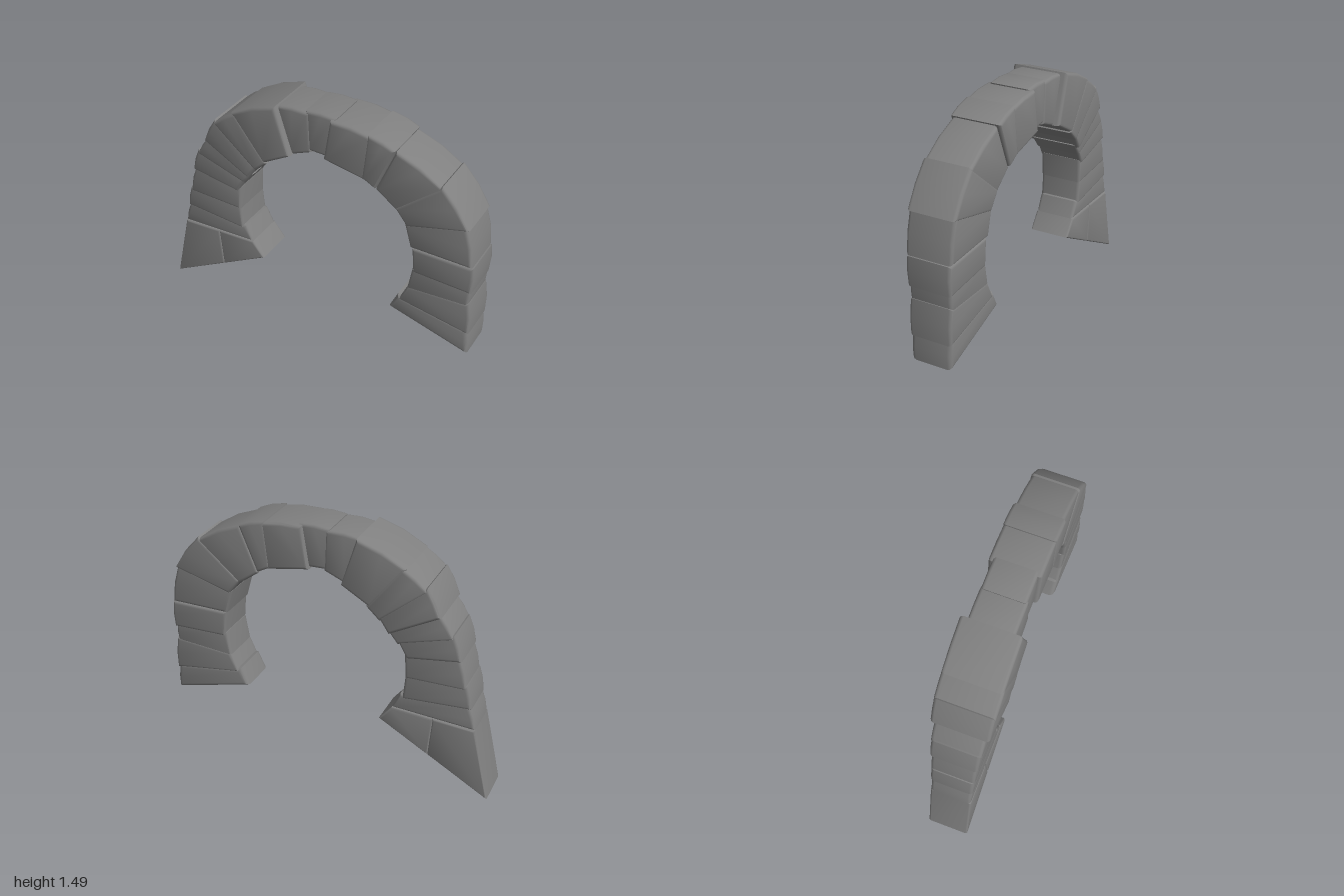
import * as THREE from 'three';
import { toCreasedNormals } from 'three/addons/utils/BufferGeometryUtils.js';

// Joints along the arch: outer x, y, inner x, y, and half depth of the stone that follows
const JOINTS = [
  [-1, 0, -0.335, 0.37, 0.124],
  [-0.9, 0.44, -0.41, 0.465, 0.122],
  [-0.86, 0.58, -0.46, 0.55, 0.127],
  [-0.835, 0.7, -0.48, 0.69, 0.13],
  [-0.79, 0.87, -0.48, 0.82, 0.14],
  [-0.75, 1.0, -0.43, 0.9, 0.145],
  [-0.67, 1.12, -0.38, 0.96, 0.168],
  [-0.6, 1.26, -0.33, 1.03, 0.171],
  [-0.47, 1.355, -0.27, 1.09, 0.17],
  [-0.21, 1.465, -0.12, 1.18, 0.13],
  [-0.02, 1.477, -0.01, 1.235, 0.125],
  [0.14, 1.48, 0.1, 1.23, 0.147],
  [0.36, 1.46, 0.33, 1.185, 0.15],
  [0.51, 1.415, 0.4, 1.145, 0.137],
  [0.78, 1.28, 0.52, 1.055, 0.142],
  [0.93, 1.08, 0.58, 0.98, 0.137],
  [0.978, 0.842, 0.62, 0.842, 0.132],
  [0.978, 0.68, 0.635, 0.69, 0.125],
  [0.973, 0.58, 0.61, 0.555, 0.127],
  [0.985, 0.39, 0.555, 0.46, 0.124],
  [0.995, 0.23, 0.505, 0.365, 0],
];
const OPEN_JOINTS = [1, 13, 16, 20]; // neighbours do not overlap here
const OVERLAP = 0.013;
const DEPTH_CENTRE = -0.003;

// Rounded block cut from an outline, its edges eased by a bevel
function makeStone(name, outline, halfDepth, bevel, material) {
  const geometry = new THREE.ExtrudeGeometry(new THREE.Shape(outline), {
    depth: 2 * (halfDepth - bevel),
    bevelThickness: bevel,
    bevelSize: bevel,
    bevelOffset: -bevel,
    bevelSegments: 3,
  });
  geometry.translate(0, 0, DEPTH_CENTRE - halfDepth + bevel);
  const stone = new THREE.Mesh(toCreasedNormals(geometry, 0.7), material);
  stone.name = name;
  return stone;
}

export function createModel() {
  const group = new THREE.Group();
  group.name = 'stoneArch';
  const material = new THREE.MeshStandardMaterial({ color: 0x808080 });
  const ends = JOINTS.map(([ox, oy, ix, iy]) => ({
    outer: new THREE.Vector2(ox, oy),
    inner: new THREE.Vector2(ix, iy),
  }));

  // Left foot, split in two by an upright joint
  const [base, top] = ends;
  const splitLow = base.outer.clone().lerp(base.inner, 0.55);
  const splitHigh = top.outer.clone().lerp(top.inner, 0.5);
  const footDepth = JOINTS[0][4];
  group.add(
    makeStone('leftFootOuter', [base.outer, splitLow, splitHigh, top.outer], footDepth, 0.012, material),
    makeStone('leftFootInner', [splitLow, base.inner, top.inner, splitHigh], footDepth, 0.012, material),
  );

  // Arch stones: outer edge bowed, every other stone set slightly outward
  for (let i = 1; i < ends.length - 1; i++) {
    const a = ends[i], b = ends[i + 1];
    const edge = b.outer.clone().sub(a.outer);
    const along = edge.clone().normalize();
    const outward = new THREE.Vector2(-along.y, along.x);
    const shift = i % 2 ? 0 : 0.008;
    const startLap = OPEN_JOINTS.includes(i) ? 0 : -OVERLAP;
    const endLap = OPEN_JOINTS.includes(i + 1) ? 0 : OVERLAP;
    const place = (point, lap, out) =>
      point.clone().addScaledVector(along, lap).addScaledVector(outward, out);
    const outline = [
      place(a.outer, startLap, shift),
      place(a.outer.clone().lerp(b.outer, 0.5), 0, shift + 0.05 * edge.length()),
      place(b.outer, endLap, shift),
      place(b.inner, endLap, shift),
      place(a.inner, startLap, shift),
    ];
    const isFoot = i === ends.length - 2;
    const name = isFoot ? 'rightFoot' : `archStone${i}`;
    const bevel = isFoot ? 0.028 : 0.02;
    group.add(makeStone(name, outline, JOINTS[i][4], bevel, material));
  }
  return group;
}
